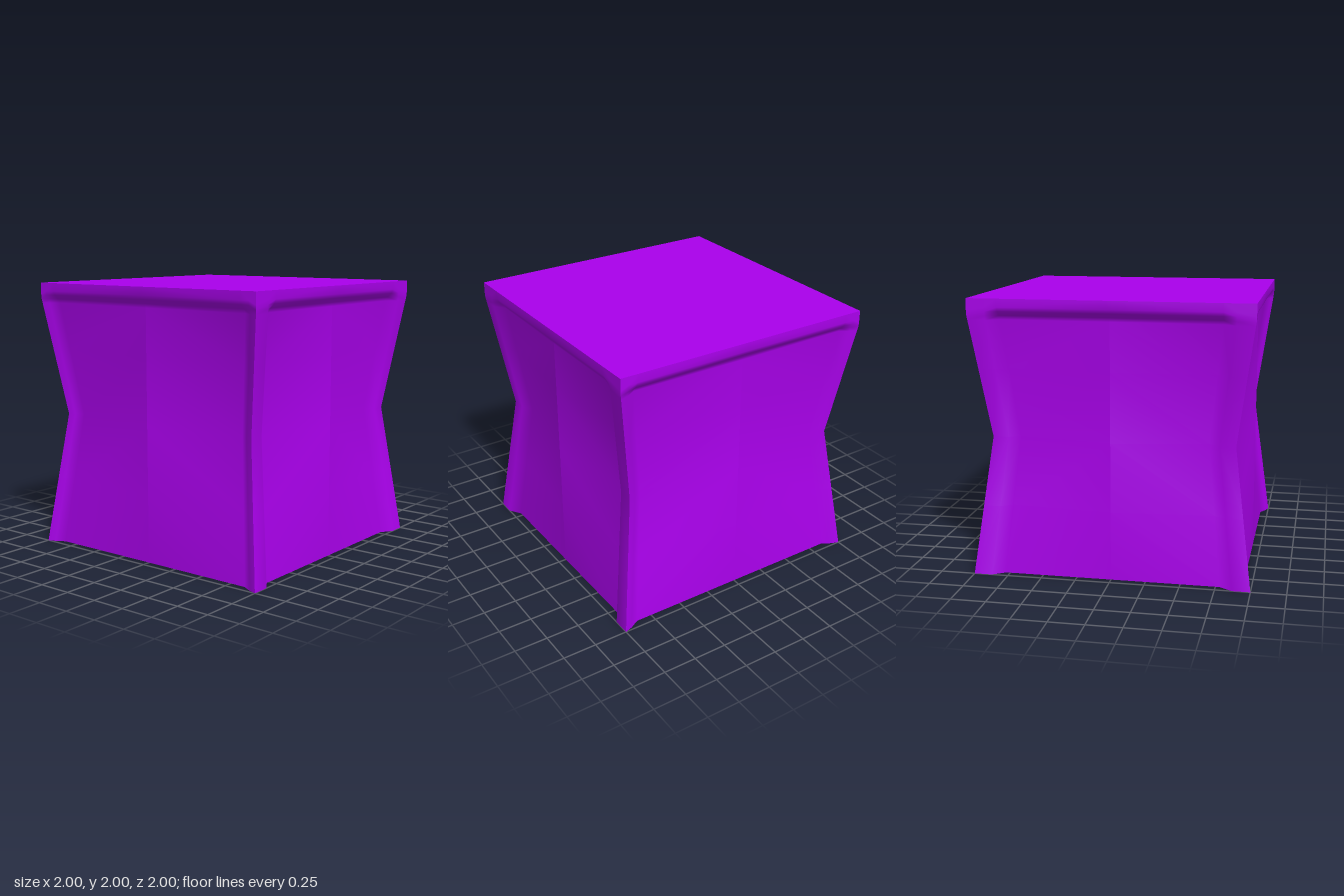
import * as THREE from 'three';

const material = new THREE.MeshStandardMaterial({ color: 0xaa00ec, side: THREE.DoubleSide });

// Scale of the pinched cloth at height y: 1 at the rim and lip, 0.87 at mid height
function pinchScale(y) {
  return 1 - 0.13 * Math.max(0, y > 1 ? 1 - (y - 1) / 0.89 : y);
}

// Each row is [height, depth of the panel]; the panel steps in just under the lip
const rows = [
  [0, 0.94], [0.5, 0.94], [1, 0.94], [1.5, 0.94], [1.85, 0.94],
  [1.88, 0.955], [1.91, 0.985], [1.94, 1], [2, 1],
];

// One hanging side: a straight ridge down the middle, with the panel edges, folds and
// corners pinched in. panelEdge is the panel's half width, fold is [offset, depth].
function sideGeometry(panelEdge, fold) {
  const positions = [];
  const indices = [];
  for (const [y, panel] of rows) {
    const s = pinchScale(y);
    const half = [
      [0, panel],
      [panelEdge * s, panel * s],
      [fold[0] * s, (y > 1.9 ? 1 : fold[1]) * s],
      [s, s],
    ];
    const section = [...half.map(([x, z]) => [-x, z]).reverse(), ...half];
    for (const [x, z] of section) positions.push(x, y, z);
  }
  const n = 8;
  for (let r = 0; r < rows.length - 1; r++) {
    for (let c = 0; c < n - 1; c++) {
      if (c === 3) continue; // the middle column is doubled to keep its crease sharp
      const a = r * n + c;
      const b = a + n;
      if (c < 3) indices.push(a, a + 1, b + 1, a, b + 1, b);
      else indices.push(a, a + 1, b, a + 1, b + 1, b);
    }
  }
  const geometry = new THREE.BufferGeometry();
  geometry.setAttribute('position', new THREE.Float32BufferAttribute(positions, 3));
  geometry.setIndex(indices);
  geometry.computeVertexNormals();
  return geometry;
}

export function createModel() {
  const model = new THREE.Group();
  model.name = 'clothCover';

  // Flat top
  const top = new THREE.Mesh(new THREE.PlaneGeometry(2, 2).rotateX(-Math.PI / 2), material);
  top.position.y = 2;
  top.name = 'top';
  model.add(top);

  // Front and back have wide folds, left and right narrow ones; open underneath
  const wide = sideGeometry(0.78, [0.87, 1]);
  const narrow = sideGeometry(0.87, [0.94, 0.98]);
  ['frontSide', 'leftSide', 'backSide', 'rightSide'].forEach((name, i) => {
    const side = new THREE.Mesh(i % 2 ? narrow : wide, material);
    side.rotation.y = i * Math.PI / 2;
    side.name = name;
    model.add(side);
  });
  return model;
}
